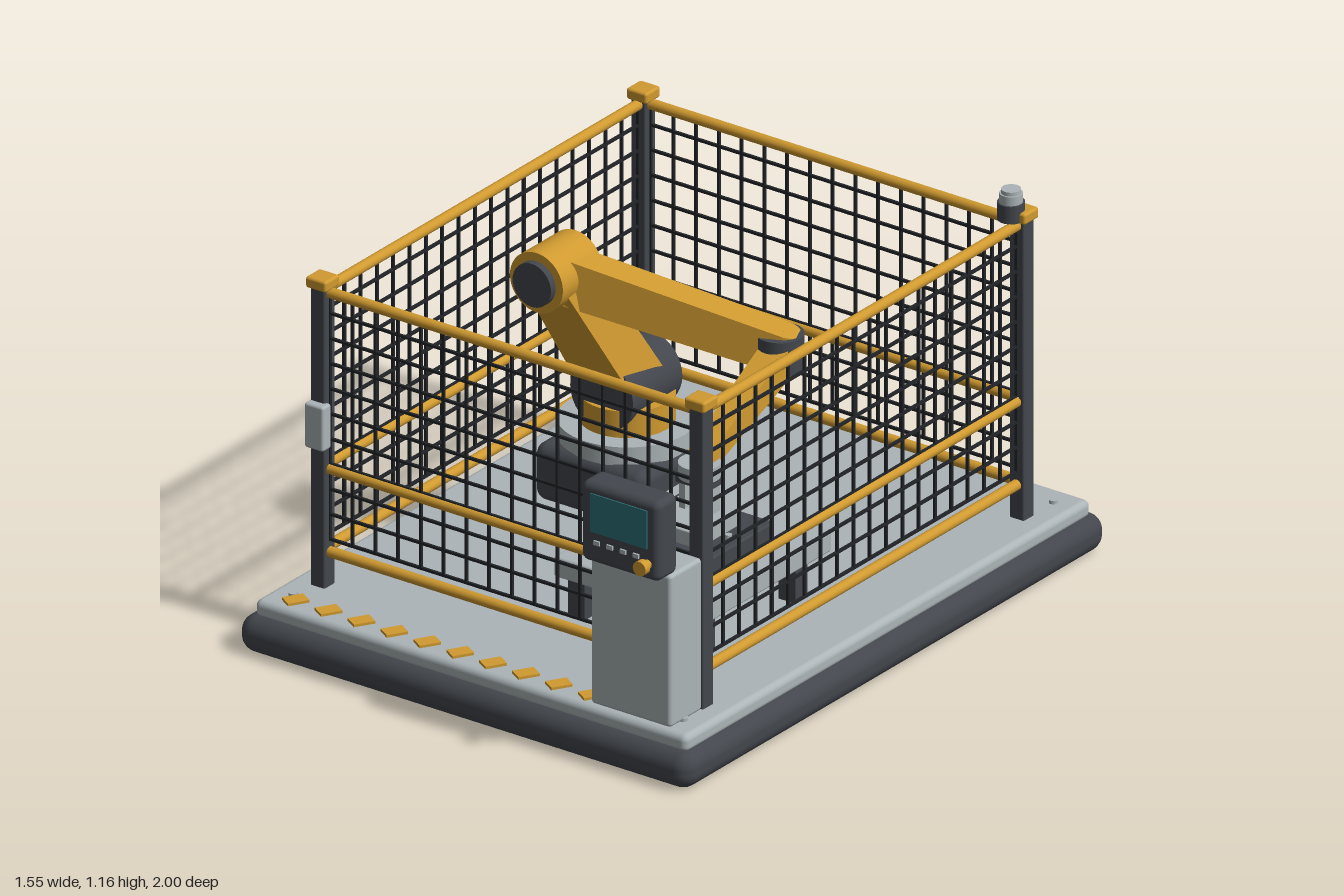
import * as THREE from 'three';
import { mergeGeometries } from 'three/addons/utils/BufferGeometryUtils.js';
import { RoundedBoxGeometry } from 'three/addons/geometries/RoundedBoxGeometry.js';

const paint = (name, color) => Object.assign(new THREE.MeshStandardMaterial({ color }), { name });
const V = (x, y, z) => new THREE.Vector3(x, y, z);

export function createModel() {
  const root = new THREE.Group();
  root.name = 'robotCell';
  const grey = paint('lightGrey', 0xabb4b7);
  const dark = paint('darkGrey', 0x43474d);
  const yellow = paint('safetyYellow', 0xd09a30);
  const black = paint('wireBlack', 0x212427);
  const teal = paint('screenTeal', 0x2a7277);

  const add = (name, geo, mat, parent = root) => {
    const m = new THREE.Mesh(geo, mat);
    m.name = name;
    parent.add(m);
    return m;
  };
  const group = (name) => {
    const g = new THREE.Group();
    g.name = name;
    root.add(g);
    return g;
  };
  // Box given by its limits on each axis, with optional rounded edges
  const box = (name, mat, [x0, x1], [y0, y1], [z0, z1], r = 0, parent = root) => {
    const s = [x1 - x0, y1 - y0, z1 - z0];
    const geo = r ? new RoundedBoxGeometry(...s, 4, r) : new THREE.BoxGeometry(...s);
    const m = add(name, geo, mat, parent);
    m.position.set((x0 + x1) / 2, (y0 + y1) / 2, (z0 + z1) / 2);
    return m;
  };
  // Cylinder between two points
  const rod = (name, mat, a, b, r, parent = root, sides = 32) => {
    const d = b.clone().sub(a);
    const m = add(name, new THREE.CylinderGeometry(r, r, d.length(), sides), mat, parent);
    m.position.copy(a).add(b).multiplyScalar(0.5);
    m.quaternion.setFromUnitVectors(V(0, 1, 0), d.normalize());
    return m;
  };
  // Tapered beam between two points; side gives the direction of its width
  const beam = (name, mat, a, b, [w0, d0], [w1, d1], side, parent) => {
    const dir = b.clone().sub(a);
    const len = dir.length();
    dir.normalize();
    const z = side.clone().cross(dir).normalize();
    const x = dir.clone().cross(z);
    const geo = new THREE.BoxGeometry(1, len, 1);
    const p = geo.attributes.position;
    for (let i = 0; i < p.count; i++) {
      const t = p.getY(i) / len + 0.5;
      p.setX(i, p.getX(i) * (w0 + (w1 - w0) * t));
      p.setZ(i, p.getZ(i) * (d0 + (d1 - d0) * t));
    }
    geo.computeVertexNormals();
    const m = add(name, geo, mat, parent);
    m.quaternion.setFromRotationMatrix(new THREE.Matrix4().makeBasis(x, dir, z));
    m.position.copy(a).add(b).multiplyScalar(0.5);
    return m;
  };

  // Platform
  box('base', dark, [-0.777, 0.777], [0, 0.113], [-1, 0.967], 0.05);
  box('deck', grey, [-0.742, 0.742], [0.1, 0.155], [-0.965, 0.925], 0.02);
  for (const x of [-0.67, 0.67]) for (const z of [-0.885, 0.84])
    rod('deckBolt', grey, V(x, 0.15, z), V(x, 0.165, z), 0.013, root, 16);
  for (let i = 0; i < 10; i++) {
    const x = -0.643 + i * 0.113;
    box('floorStripe', yellow, [x - 0.023, x + 0.023], [0.154, 0.163], [0.833, 0.897]).rotation.y = -0.55;
  }

  // Fence: posts, caps, rails and wire mesh
  const fence = group('fence');
  const X = 0.65, ZF = 0.73, ZB = -0.765;
  for (const x of [-X, X]) for (const z of [ZB, ZF]) {
    box('post', dark, [x - 0.025, x + 0.025], [0.15, 1.075], [z - 0.025, z + 0.025], 0.006, fence);
    box('postCap', yellow, [x - 0.035, x + 0.035], [1.066, 1.1], [z - 0.034, z + 0.034], 0.008, fence);
  }
  for (const y of [0.26, 0.515, 1.055]) {
    for (const z of [ZB, ZF]) rod('rail', yellow, V(-X, y, z), V(X, y, z), 0.016, fence, 16);
    for (const x of [-X, X]) rod('rail', yellow, V(x, y, ZB), V(x, y, ZF), 0.016, fence, 16);
  }
  const meshPanel = (width, cells) => {
    const wires = [], y0 = 0.295, y1 = 1.05, t = 0.008;
    for (let i = 0; i <= cells; i++)
      wires.push(new THREE.BoxGeometry(t, y1 - y0, t).translate(-width / 2 + (i * width) / cells, (y0 + y1) / 2, 0));
    for (let y = y0 + 0.004; y < y1; y += 0.077)
      wires.push(new THREE.BoxGeometry(width, t, t).translate(0, y, 0));
    return mergeGeometries(wires);
  };
  const frontMesh = meshPanel(2 * X - 0.05, 16), sideMesh = meshPanel(ZF - ZB - 0.05, 19);
  for (const z of [ZB, ZF]) add('wireMesh', frontMesh, black, fence).position.z = z;
  for (const x of [-X, X]) {
    const m = add('wireMesh', sideMesh, black, fence);
    m.rotation.y = Math.PI / 2;
    m.position.set(x, 0, (ZF + ZB) / 2);
  }
  box('gateLatch', grey, [-0.677, -0.612], [0.585, 0.722], [0.74, 0.78], 0.008, fence);

  // Signal beacon on the rear post
  const beacon = group('beacon');
  const bx = 0.63, bz = -0.742;
  rod('beaconBase', dark, V(bx, 1.07, bz), V(bx, 1.123, bz), 0.039, beacon);
  rod('beaconLens', grey, V(bx, 1.123, bz), V(bx, 1.15, bz), 0.033, beacon);
  rod('beaconTop', grey, V(bx, 1.15, bz), V(bx, 1.162, bz), 0.028, beacon);

  // Control cabinet and operator panel
  const control = group('controlCabinet');
  box('cabinet', grey, [0.4, 0.675], [0.155, 0.622], [0.757, 0.907], 0.012, control);
  box('cabinetConduit', dark, [0.462, 0.532], [0.4, 0.6], [0.74, 0.76], 0, control);
  box('panelHousing', dark, [0.403, 0.672], [0.617, 0.862], [0.863, 0.96], 0.022, control);
  box('screen', teal, [0.44, 0.635], [0.716, 0.833], [0.956, 0.964], 0, control);
  for (let i = 0; i < 4; i++) {
    const x = 0.463 + i * 0.045;
    box('button', grey, [x - 0.01, x + 0.01], [0.679, 0.692], [0.956, 0.966], 0, control);
  }
  rod('knobCollar', yellow, V(0.636, 0.67, 0.955), V(0.636, 0.67, 0.978), 0.014, control, 24);
  rod('stopKnob', yellow, V(0.636, 0.67, 0.978), V(0.636, 0.67, 1), 0.022, control, 24);

  // Robot pedestal and shoulder
  const robot = group('robotArm');
  const px = -0.318, pz = -0.24;
  box('pedestal', dark, [-0.507, -0.13], [0.15, 0.325], [-0.425, -0.052], 0.035, robot);
  rod('turntableRim', grey, V(px, 0.32, pz), V(px, 0.335, pz), 0.18, robot, 48);
  rod('turntable', grey, V(px, 0.333, pz), V(px, 0.385, pz), 0.195, robot, 48);
  rod('turret', yellow, V(px, 0.385, pz), V(px, 0.466, pz), 0.135, robot, 40);
  rod('shoulder', dark, V(px, 0.5, pz - 0.11), V(px, 0.5, pz + 0.12), 0.108, robot);

  // Arm links and joints
  const elbow = V(-0.387, 0.905, 0), wrist = V(0.195, 0.742, -0.252), tool = V(0.25, 0.58, 0.19);
  beam('lowerArm', yellow, V(px, 0.48, pz), elbow, [0.2, 0.14], [0.16, 0.13], V(1, 0, 0), robot);
  rod('elbow', yellow, V(-0.387, 0.905, -0.092), V(-0.387, 0.905, 0.09), 0.091, robot, 40);
  rod('elbowCap', dark, V(-0.387, 0.905, 0.088), V(-0.387, 0.905, 0.112), 0.066, robot, 40);

  const reach = wrist.clone().sub(elbow).normalize();
  const back = V(0, 1, 0).cross(reach).normalize();
  const lift = reach.clone().cross(back).normalize();
  beam('upperArm', yellow, elbow, wrist, [0.105, 0.14], [0.1, 0.115], back, robot);
  rod('upperArmEnd', yellow, wrist.clone().addScaledVector(lift, -0.057), wrist.clone().addScaledVector(lift, 0.057), 0.05, robot);
  const along = (t) => elbow.clone().lerp(wrist, t).addScaledVector(back, 0.06);
  beam('armCover', dark, along(0.16), along(0.97), [0.028, 0.06], [0.028, 0.055], back, robot);
  rod('wristJoint', dark, V(0.198, 0.683, -0.25), V(0.198, 0.787, -0.25), 0.069, robot);
  beam('forearm', yellow, V(0.208, 0.73, -0.25), tool, [0.09, 0.085], [0.068, 0.06], V(1, 0, 0), robot);

  // Gripper
  const gx = 0.248, gz = 0.192;
  rod('toolFlange', grey, V(gx, 0.535, gz), V(gx, 0.577, gz), 0.06, robot);
  box('gripperBody', dark, [gx - 0.056, gx + 0.056], [0.513, 0.537], [gz - 0.035, gz + 0.035], 0, robot);
  for (const s of [-1, 1])
    box('gripperFinger', grey, [gx + s * 0.042 - 0.01, gx + s * 0.042 + 0.01], [0.43, 0.515], [gz - 0.025, gz + 0.025], 0, robot);

  // Work table with fixture and workpiece
  const table = group('workTable');
  box('tableTop', grey, [-0.015, 0.51], [0.275, 0.337], [-0.07, 0.517], 0.008, table);
  for (const x of [0.045, 0.45]) for (const z of [0.03, 0.462])
    box('tableLeg', dark, [x - 0.029, x + 0.029], [0.15, 0.28], [z - 0.029, z + 0.029], 0, table);
  box('fixturePlate', dark, [0.085, 0.408], [0.335, 0.387], [0.058, 0.395], 0.006, table);
  box('workpiece', grey, [0.15, 0.343], [0.385, 0.432], [0.127, 0.328], 0.004, table);
  for (const x of [0.125, 0.372])
    rod('fixturePin', grey, V(x, 0.38, 0.225), V(x, 0.402, 0.225), 0.01, table, 16);

  return root;
}
